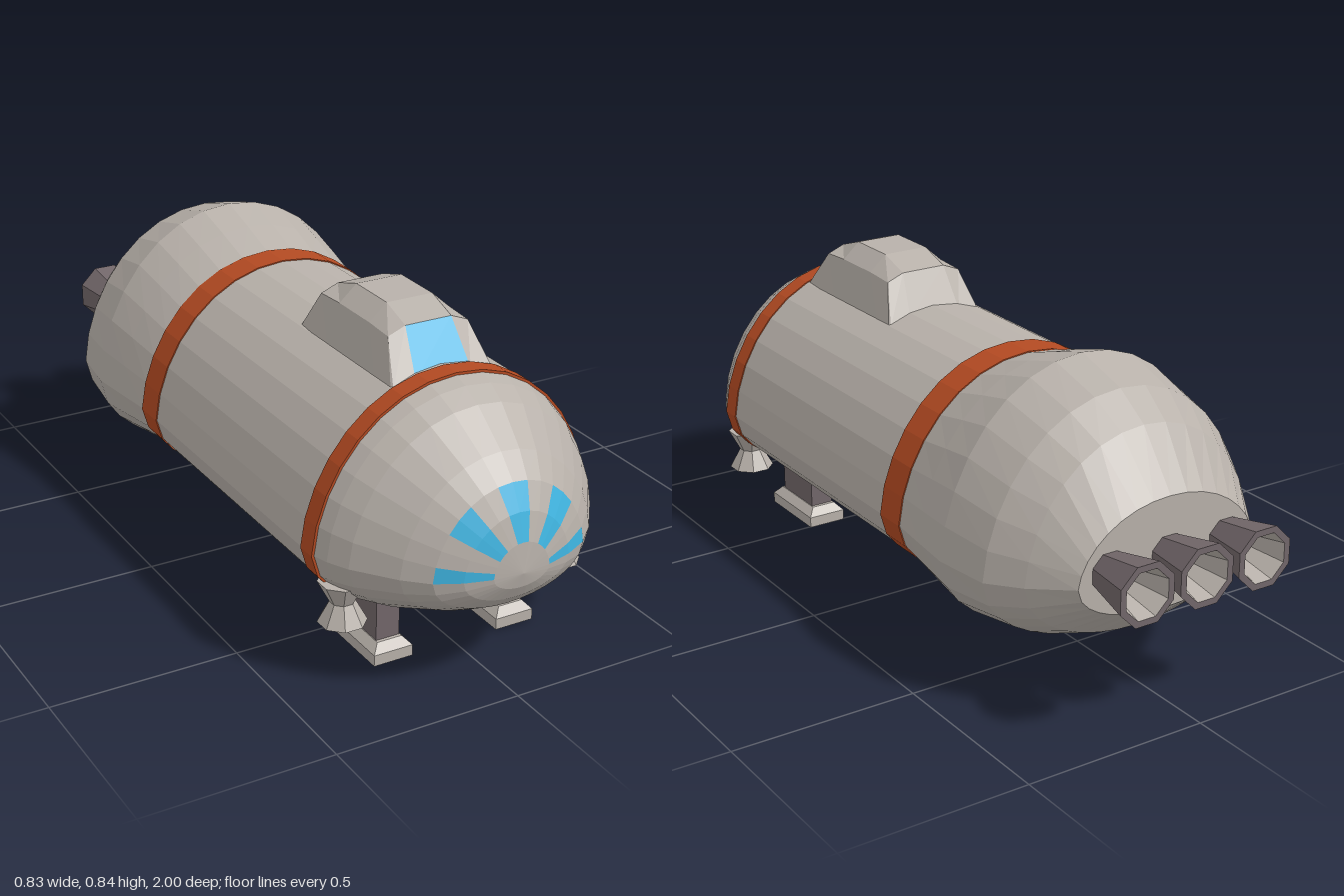
import * as THREE from 'three';

const material = (name, color) => {
  const m = new THREE.MeshStandardMaterial({ color });
  m.name = name;
  return m;
};

// Skin rows of points (front to back) with flat quads; pick(row, column) chooses the material index.
function skin(rows, pick = () => 0) {
  const buckets = [[], []];
  for (let r = 0; r < rows.length - 1; r++) {
    const a = rows[r], b = rows[r + 1];
    for (let i = 0; i < a.length - 1; i++) {
      buckets[pick(r, i)].push(...a[i], ...a[i + 1], ...b[i + 1], ...a[i], ...b[i + 1], ...b[i]);
    }
  }
  const geometry = new THREE.BufferGeometry();
  geometry.setAttribute('position', new THREE.Float32BufferAttribute(buckets.flat(), 3));
  const first = buckets[0].length / 3;
  geometry.addGroup(0, first, 0);
  if (buckets[1].length) geometry.addGroup(first, buckets[1].length / 3, 1);
  geometry.computeVertexNormals();
  return geometry;
}

// Egg-shaped hull section: half width a, widest at height c, rising by up and dropping by down.
const LOWER = [0, 17, 29, 40, 50, 60, 70, 80, 90];
function section(z, a, c, up, down) {
  const half = [];
  for (let i = 0; i < 8; i++) {
    const t = (i * Math.PI) / 16;
    half.push([a * Math.sin(t) * (1 - 0.035 * Math.sin(2 * t)), c + up * Math.cos(t), z]);
  }
  for (const d of LOWER) {
    const t = THREE.MathUtils.degToRad(d);
    half.push([a * Math.cos(t), c - down * Math.sin(t), z]);
  }
  const other = half.slice(0, -1).reverse().map(([x, y, w]) => [-x, y, w]);
  return [...half, ...other];
}
const hullSection = (z, s) => section(z, 0.39 * s, 0.335, 0.388 * s, 0.2 * s);

// Eight-sided lathe with flat faces.
function octagon(profile) {
  const points = profile.map(([x, y]) => new THREE.Vector2(x, y));
  const g = new THREE.LatheGeometry(points, 8, Math.PI / 8).toNonIndexed();
  g.computeVertexNormals();
  return g;
}

export function createModel() {
  const hull = material('hull grey', 0xb8b1aa);
  const dark = material('dark metal', 0x72676a);
  const rust = material('rust band', 0xb34a22);
  const glass = material('blue glass', 0x3fb4e0);

  const model = new THREE.Group();
  model.name = 'spaceship';
  const add = (name, geometry, mat, parent = model) => {
    const mesh = new THREE.Mesh(geometry, mat);
    mesh.name = name;
    parent.add(mesh);
    return mesh;
  };

  // Rounded nose with a fan of windows
  const noseRings = [[1, 0], [0.992, 0.2], [0.972, 0.38], [0.94, 0.545], [0.887, 0.69],
    [0.785, 0.89], [0.73, 0.96], [0.69, 0.99]];
  add('nose', skin(noseRings.map(([z, s]) => hullSection(z, s)), (r, i) =>
    (r === 1 || r === 2) && [0, 3, 4, 7].includes(Math.min(i, 31 - i)) ? 1 : 0), [hull, glass]);

  // Main body and its two painted bands
  add('body', skin([hullSection(0.69, 0.99), hullSection(0.635, 1), hullSection(-0.265, 1)]), hull);
  for (const [name, z0, z1] of [['frontBand', 0.69, 0.635], ['rearBand', -0.175, -0.265]]) {
    add(name, skin([hullSection(z0, 0.985), hullSection(z0, 1.008),
      hullSection(z1, 1.008), hullSection(z1, 0.985)]), rust);
  }

  // Swollen tail, closed by a flat engine plate
  add('tail', skin([
    section(-0.265, 0.39, 0.335, 0.388, 0.2),
    section(-0.38, 0.403, 0.335, 0.425, 0.225),
    section(-0.495, 0.415, 0.335, 0.458, 0.25),
    section(-0.65, 0.395, 0.335, 0.413, 0.22),
    section(-0.745, 0.34, 0.345, 0.34, 0.19),
    section(-0.855, 0.265, 0.365, 0.177, 0.115),
    section(-0.855, 0, 0.365, 0, 0),
  ]), hull);

  // Cabin on the roof with a windscreen
  const cabinRow = (z, ySide, yTop, xSide = 0.113, xTop = 0.065) => {
    const right = [[xTop, yTop, z], [xSide, ySide, z], [0.147, 0.68, z]];
    return [...right.map(([x, y, w]) => [-x, y, w]).reverse(), ...right];
  };
  add('cabin', skin([
    cabinRow(0.635, 0.69, 0.7, 0.14, 0.078),
    cabinRow(0.562, 0.795, 0.814),
    cabinRow(0.475, 0.8, 0.843),
    cabinRow(0.33, 0.8, 0.843),
    cabinRow(0.238, 0.795, 0.814),
    cabinRow(0.18, 0.69, 0.7, 0.14, 0.078),
  ], (r, i) => (r === 0 && i === 2 ? 1 : 0)), [hull, glass]);

  // Landing legs with bevelled feet
  const leg = (name, x, z, w, d, footW, footD, top) => {
    const group = new THREE.Group();
    group.name = name;
    group.position.set(x, 0, z);
    const strut = add('strut', new THREE.BoxGeometry(w, top - 0.04, d), dark, group);
    strut.position.y = (top + 0.04) / 2;
    const sole = add('sole', new THREE.BoxGeometry(footW, 0.03, footD), hull, group);
    sole.position.y = 0.015;
    const bevel = new THREE.BoxGeometry(footW, 0.022, footD);
    const p = bevel.attributes.position;
    for (let i = 0; i < p.count; i++) {
      if (p.getY(i) > 0) {
        p.setX(i, p.getX(i) - Math.sign(p.getX(i)) * 0.02);
        p.setZ(i, p.getZ(i) - Math.sign(p.getZ(i)) * 0.02);
      }
    }
    bevel.computeVertexNormals();
    add('footBevel', bevel, hull, group).position.y = 0.041;
    model.add(group);
  };
  leg('rearLeg', 0, -0.22, 0.15, 0.088, 0.19, 0.155, 0.17);

  // Downward thrusters under the nose, paired with the front legs
  const bell = octagon([[0, 0.19], [0.05, 0.145], [0.062, 0.145], [0.032, 0.2], [0.062, 0.257], [0, 0.257]]);
  for (const [side, s] of [['left', 1], ['right', -1]]) {
    leg(side + 'FrontLeg', s * 0.179, 0.608, 0.066, 0.166, 0.11, 0.225, 0.2);
    add(side + 'Thruster', bell, hull).position.set(s * 0.314, 0, 0.7);
  }

  // Three main engines
  const shell = octagon([[0.05, 0.84], [0.084, 1], [0.066, 1]]).rotateX(-Math.PI / 2);
  const lining = octagon([[0.066, 1], [0.036, 0.88], [0, 0.88]]).rotateX(-Math.PI / 2);
  for (const x of [-0.175, 0, 0.175]) {
    const engine = new THREE.Group();
    engine.name = 'engine';
    engine.position.set(x, 0.39, 0);
    add('engineShell', shell, dark, engine);
    add('engineLining', lining, hull, engine);
    model.add(engine);
  }
  return model;
}
